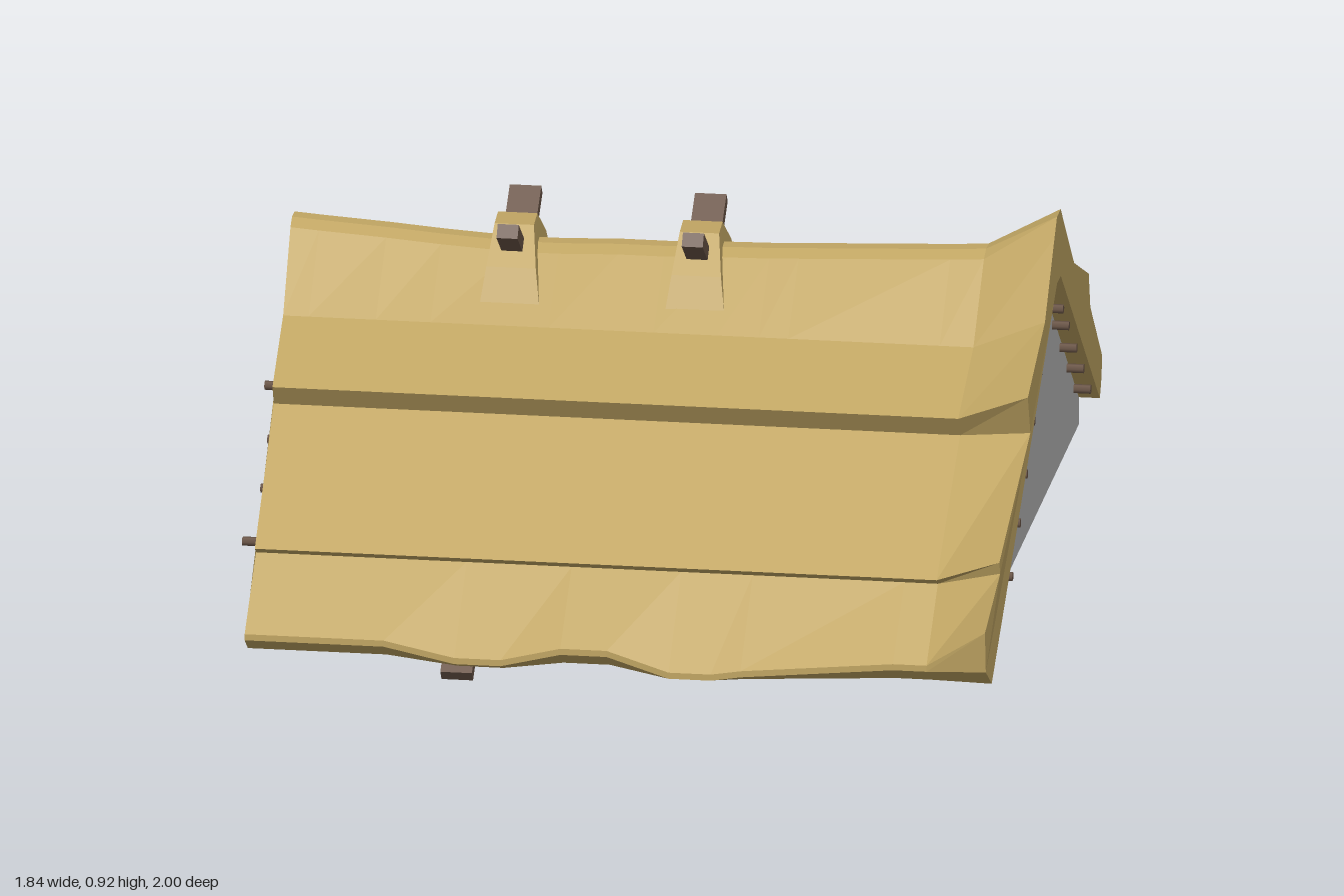
import * as THREE from 'three';

const straw = new THREE.MeshStandardMaterial({ color: 0xc0a563 });
straw.name = 'straw';
const wood = new THREE.MeshStandardMaterial({ color: 0x6a5547 });
wood.name = 'wood';
const plaster = new THREE.MeshStandardMaterial({ color: 0xb6b6b6 });
plaster.name = 'plaster';

// Flat-shaded solid through closed rings of [x, y, z], running from -x to +x
function loft(name, rings, material) {
  const pos = [];
  const tri = (a, b, c) => pos.push(...a, ...b, ...c);
  const n = rings[0].length;
  for (let i = 0; i + 1 < rings.length; i++) {
    for (let j = 0; j < n; j++) {
      const k = (j + 1) % n;
      const a = rings[i][j], b = rings[i][k], c = rings[i + 1][k], d = rings[i + 1][j];
      tri(a, d, c);
      tri(a, c, b);
    }
  }
  for (const [ring, side] of [[rings[0], -1], [rings[rings.length - 1], 1]]) {
    const flat = ring.map(p => new THREE.Vector2(p[2], p[1]));
    for (const [i, j, k] of THREE.ShapeUtils.triangulateShape(flat, [])) {
      const area = THREE.ShapeUtils.area([flat[i], flat[j], flat[k]]);
      if (area * side > 0) tri(ring[i], ring[k], ring[j]);
      else tri(ring[i], ring[j], ring[k]);
    }
  }
  const geo = new THREE.BufferGeometry();
  geo.setAttribute('position', new THREE.Float32BufferAttribute(pos, 3));
  geo.computeVertexNormals();
  const mesh = new THREE.Mesh(geo, material);
  mesh.name = name;
  return mesh;
}

// Slab with an outline of [z, y] points (front, over the top, to the back)
const slab = (name, x0, x1, outline, material) =>
  loft(name, [x0, x1].map(x => outline.map(([z, y]) => [x, y, z])), material);

// Square timber between two points
function beam(name, from, to, width, thick) {
  const a = new THREE.Vector3(...from), b = new THREE.Vector3(...to);
  const mesh = new THREE.Mesh(new THREE.BoxGeometry(width, thick, a.distanceTo(b)), wood);
  mesh.position.copy(a).add(b).multiplyScalar(0.5);
  mesh.lookAt(b);
  mesh.name = name;
  return mesh;
}

// Thatch section: three overlapping courses on each slope, as [z, y]
function thatchSection(ridge, frontDip, backDip, notched) {
  const f = frontDip, b = backDip;
  const front = [
    [0.91 + f * 0.5, 0.05 - f * 0.5], [0.96 + f * 0.5, 0.085 - f], [0.96 + f * 0.5, 0.1 - f],
    [0.78, 0.245], [0.8, 0.26], [0.43, 0.5], [0.46, 0.55], [0.22, 0.65], [0.055, ridge - 0.015], [0.02, ridge],
  ];
  const back = [[-0.02, ridge], [-0.055, ridge - 0.015], [-0.22, 0.67], [-0.5, 0.535], [-0.47, 0.49]];
  const eave = notched
    ? [[-0.68, 0.352], [-0.68, 0.34], [-0.675, 0.32], [-0.67, 0.3], [-0.66, 0.28], [-0.645, 0.257]]
    : [[-0.85, 0.255], [-0.835, 0.24], [-0.94 - b, 0.14 - b * 0.8], [-0.94 - b, 0.12 - b * 0.8],
      [-0.915 - b, 0.075 - b * 0.6], [-0.89 - b, 0.066 - b * 0.78]];
  return [...front, ...back, ...eave, [-0.03, 0.755], [0.03, 0.755]];
}

function thatch() {
  // x, ridge height, front eave dip, back eave dip, notched
  const stations = [
    [-0.88, 0.83, 0, 0], [-0.84, 0.825, 0, 0], [-0.68, 0.815, 0, 0], [-0.55, 0.805, 0, 0.025],
    [-0.38, 0.795, 0.03, 0.055], [-0.27, 0.795, 0.03, 0.055], [-0.13, 0.8, 0, 0], [-0.02, 0.8, 0, 0],
    [0.13, 0.805, 0.04, 0], [0.23, 0.807, 0.04, 0.03], [0.3, 0.81, 0.03, 0.05],
    [0.3, 0.81, 0.03, 0, true], [0.66, 0.825, 0, 0, true], [0.74, 0.83, 0, 0, true],
  ];
  const rings = stations.map(([x, ...s], i) => thatchSection(...s).map(([z, y]) =>
    [i === 0 ? x - 0.03 * Math.max(0, 1 - Math.abs(z) * 1.5) : x, y, z]));
  // Flared right end
  const end = thatchSection(0.92, 0, 0, true);
  const flared = [
    [0.92, 0.05], [0.99, 0.1], [1, 0.2], [0.82, 0.29], [0.83, 0.32], [0.45, 0.52], [0.49, 0.62],
    [0.22, 0.72], [0.07, 0.88], [0.03, 0.92], [-0.03, 0.92], [-0.07, 0.88], [-0.24, 0.72], [-0.47, 0.62], [-0.495, 0.53],
  ];
  flared.forEach((p, i) => { end[i] = p; });
  rings.push(end.map(([z, y]) => [0.91 - 0.025 * Math.max(0, z - 0.5) * 2, y, z]));
  return loft('thatch', rings, straw);
}

// Small straw saddle over the ridge, tapering upwards
function saddle(x) {
  const outline = [[0.17, 0.69], [0.13, 0.765], [0.045, 0.845], [-0.045, 0.845], [-0.15, 0.77], [-0.2, 0.68], [0, 0.72]];
  const rings = [-1, 1].map(s => outline.map(([z, y]) =>
    [x + s * (0.07 - Math.max(0, y - 0.69) * 0.15) + z * 0.06, y, z]));
  return loft('ridgeSaddle', rings, straw);
}

export function createModel() {
  const model = new THREE.Group();
  model.name = 'thatchedRoof';
  model.add(thatch());

  // Crossing rafters that poke through the ridge
  for (const [x, frontEnd] of [[-0.38, 0.935], [0.06, 0.89]]) {
    model.add(
      saddle(x),
      beam('frontRafter', [x, 0.742 - 0.78 * frontEnd, frontEnd], [x, 0.867, -0.16], 0.075, 0.03),
      beam('backRafter', [x + 0.005, 0.045, -0.98], [x + 0.005, 0.865, 0.165], 0.05, 0.035),
    );
  }

  // Battens along the underside of both slopes
  const battens = [0.1, 0.2, 0.31, 0.43, 0.54, 0.66, -0.14, -0.23, -0.35, -0.46, -0.57, -0.69];
  battens.forEach((z, i) => {
    const left = -0.905 - (i % 3 === 2 ? 0.025 : 0);
    const right = z < -0.65 ? 0.29 : 0.9;
    const mesh = new THREE.Mesh(new THREE.CylinderGeometry(0.011, 0.011, right - left, 6), wood);
    mesh.rotation.z = Math.PI / 2;
    mesh.position.set((left + right) / 2, 0.747 - 0.78 * Math.abs(z), z);
    mesh.name = 'batten';
    model.add(mesh);
  });

  // Plates above the side walls
  model.add(
    beam('frontWallPlate', [-0.86, 0.175, 0.72], [0.8, 0.175, 0.72], 0.06, 0.02),
    beam('backWallPlate', [-0.86, 0.173, -0.75], [0.315, 0.173, -0.75], 0.075, 0.016),
  );

  // Left gable: plastered wall
  model.add(slab('leftGableWall', 0.77, 0.86,
    [[0.74, 0.172], [0.72, 0.196], [0.03, 0.757], [-0.03, 0.757], [-0.65, 0.262], [-0.65, 0.19]], plaster));

  // Right gable: boards below, plaster above
  const half = y => (0.765 - y) / 0.78;
  const boards = 4, low = 0.17, high = 0.53, step = (high - low) / boards;
  for (let i = 0; i < boards; i++) {
    const y0 = low + i * step, y1 = y0 + step;
    const out = 0.006 * (i % 2);
    model.add(slab('rightGableBoard', -0.85 - out, -0.81,
      [[half(y0), y0], [half(y1), y1], [-half(y1), y1], [-half(y0), y0]], wood));
  }
  model.add(slab('rightGableTop', -0.845, -0.81, [[half(high), high], [0, 0.765], [-half(high), high]], plaster));
  return model;
}
